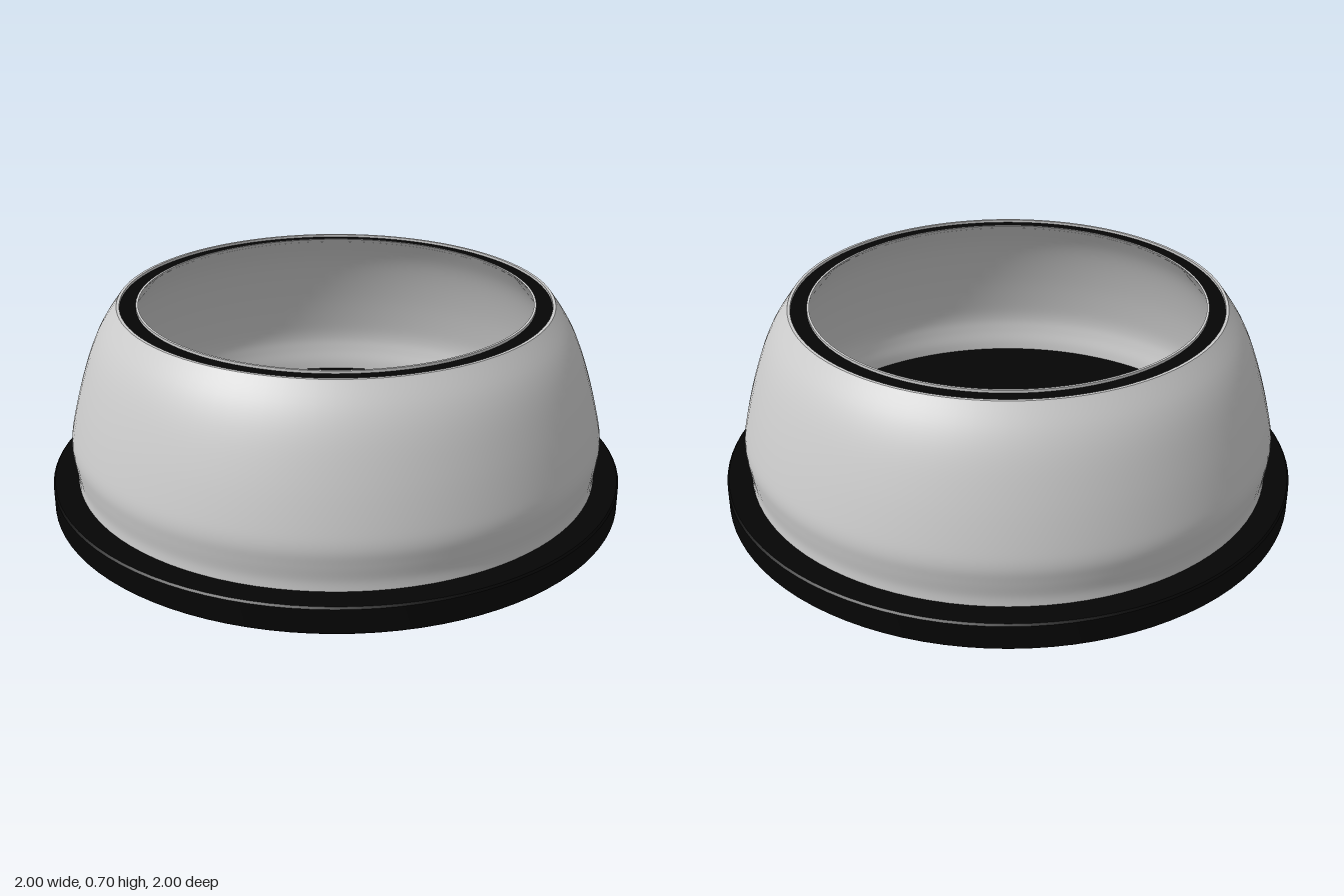
import * as THREE from 'three';
import { toCreasedNormals } from 'three/addons/utils/BufferGeometryUtils.js';

const SEGMENTS = 96;
const vec = ([r, y]) => new THREE.Vector2(r, y);
const smooth = (points, n) => new THREE.SplineCurve(points.map(vec)).getPoints(n);

// Revolved part with crisp rims and smooth walls
function revolve(name, profile, color) {
  const geometry = toCreasedNormals(new THREE.LatheGeometry(profile, SEGMENTS), 0.6);
  const material = new THREE.MeshStandardMaterial({ color });
  const mesh = new THREE.Mesh(geometry, material);
  mesh.name = name;
  return mesh;
}

export function createModel() {
  const group = new THREE.Group();
  group.name = 'bowl';
  const black = 0x050505;

  // Flat base disc with a softened upper edge; its top is the bowl floor
  group.add(revolve('base', [
    [0, 0], [0.996, 0], [1, 0.004], [1, 0.086], [0.994, 0.092], [0, 0.092],
  ].map(vec), black));

  // Hollow wall: outside going up, grooved lip, inside going down
  const outside = smooth([
    [0.913, 0.085], [0.912, 0.125], [0.92, 0.18], [0.925, 0.235], [0.914, 0.3],
    [0.882, 0.42], [0.841, 0.54], [0.8, 0.625], [0.745, 0.705],
  ], 40);
  const groove = [[0.735, 0.705], [0.735, 0.693], [0.68, 0.693], [0.68, 0.705]].map(vec);
  const inside = smooth([
    [0.672, 0.705], [0.732, 0.62], [0.776, 0.53], [0.819, 0.41],
    [0.851, 0.29], [0.861, 0.225], [0.857, 0.175], [0.848, 0.125], [0.845, 0.085],
  ], 40);
  group.add(revolve('wall', [...outside, ...groove, ...inside], 0xcccccc));

  // Dark band set into the groove of the lip
  group.add(revolve('rimBand', [[0.735, 0.696], [0.68, 0.696]].map(vec), black));

  return group;
}
